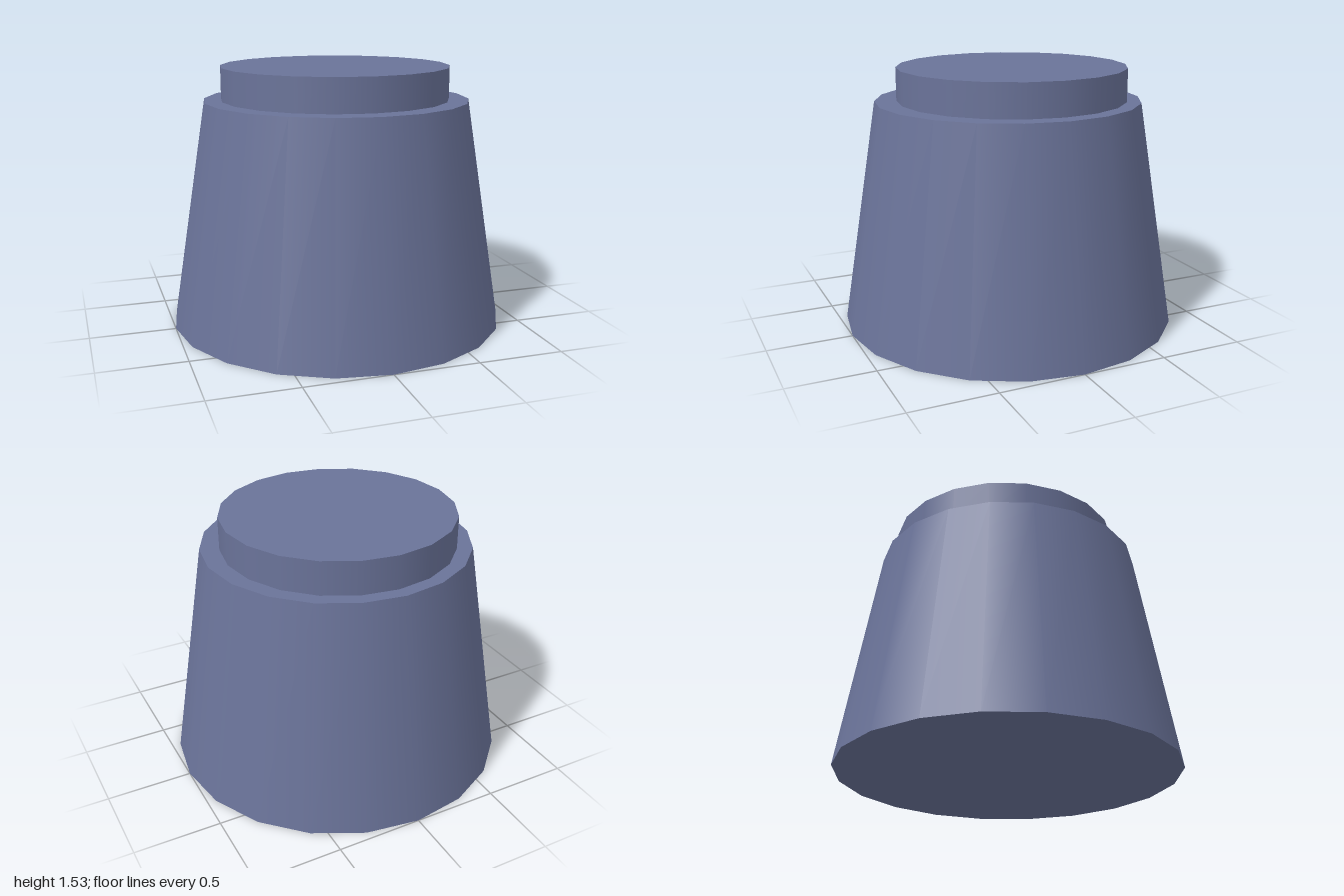
import * as THREE from 'three';

export function createModel() {
  const group = new THREE.Group();
  group.name = 'taperedPlug';
  const slateBlue = new THREE.MeshStandardMaterial({ color: 0x6a7399 });
  slateBlue.name = 'slate blue';

  // Twenty-sided drum standing between two heights
  function drum(name, topRadius, bottomRadius, y0, y1, z) {
    const geometry = new THREE.CylinderGeometry(topRadius, bottomRadius, y1 - y0, 20);
    const mesh = new THREE.Mesh(geometry, slateBlue);
    mesh.name = name;
    mesh.position.set(0, (y0 + y1) / 2, z);
    group.add(mesh);
  }

  // Tapered body
  drum('body', 0.785, 1, 0, 1.335, 0);
  // Raised cap, set slightly towards the back
  drum('cap', 0.68, 0.68, 1.335, 1.53, -0.025);

  return group;
}
